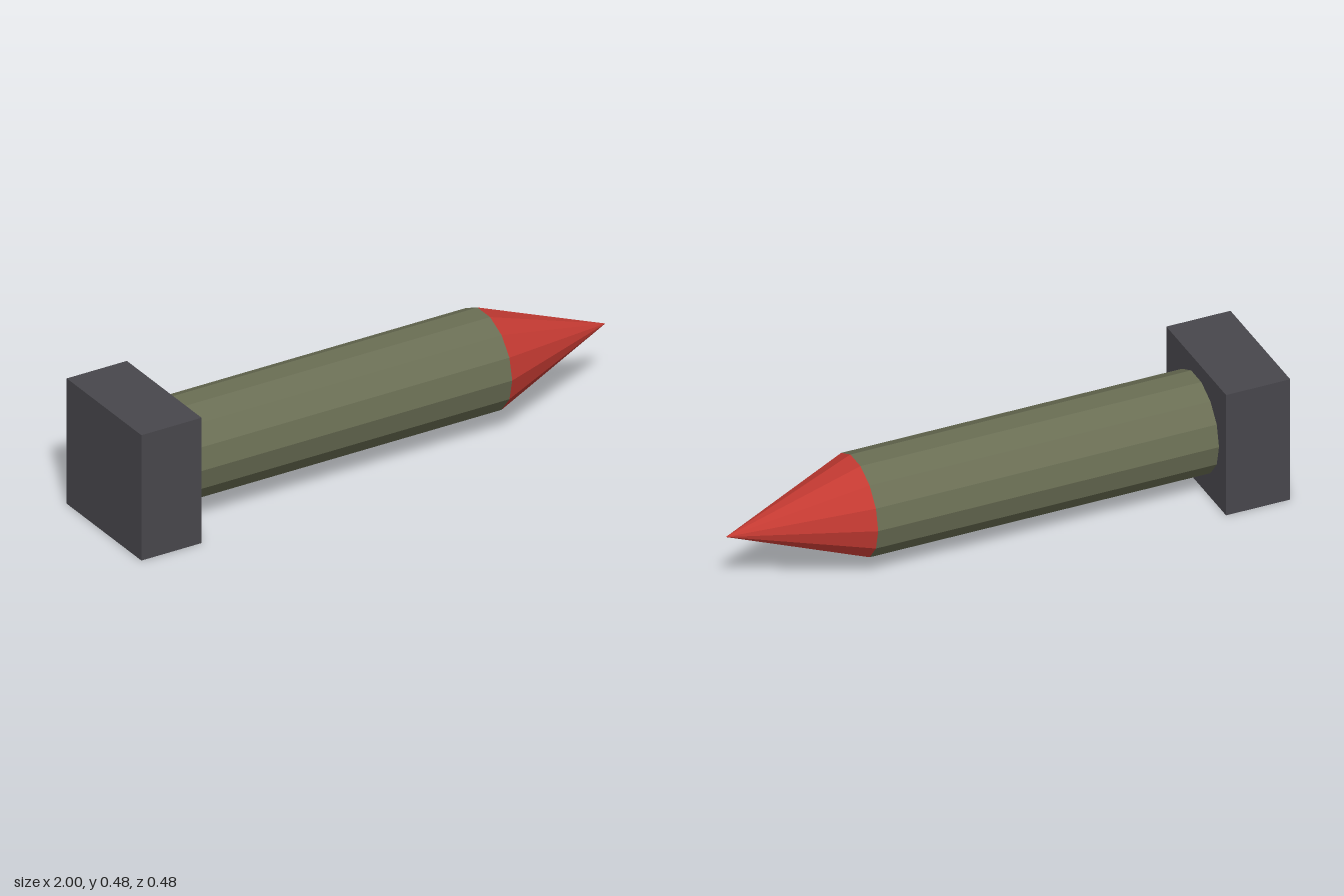
import * as THREE from 'three';

const SIDES = 14, RADIUS = 0.184, AXIS_Y = 0.241;
const BASE = 0.482, BASE_END = -0.76, BODY_END = 0.515;

function material(name, color) {
  const m = new THREE.MeshStandardMaterial({ color, flatShading: true });
  m.name = name;
  return m;
}

export function createModel() {
  const group = new THREE.Group();
  group.name = 'rocket';

  const add = (name, geometry, mat, x) => {
    const mesh = new THREE.Mesh(geometry, mat);
    mesh.name = name;
    mesh.position.set(x, AXIS_Y, 0);
    group.add(mesh);
  };
  // Turns an upright geometry so that it points along +x
  const layDown = (geometry) => geometry.rotateZ(-Math.PI / 2);

  // Square block at the tail
  add('tailBlock', new THREE.BoxGeometry(BASE_END + 1, BASE, BASE),
    material('dark grey', 0x48474c), (BASE_END - 1) / 2);

  // Faceted body
  const length = BODY_END - BASE_END;
  add('body', layDown(new THREE.CylinderGeometry(RADIUS, RADIUS, length, SIDES)),
    material('olive green', 0x6a6e54), (BODY_END + BASE_END) / 2);

  // Pointed nose
  add('noseCone', layDown(new THREE.ConeGeometry(RADIUS, 1 - BODY_END, SIDES)),
    material('red', 0xc43a32), (1 + BODY_END) / 2);

  return group;
}
